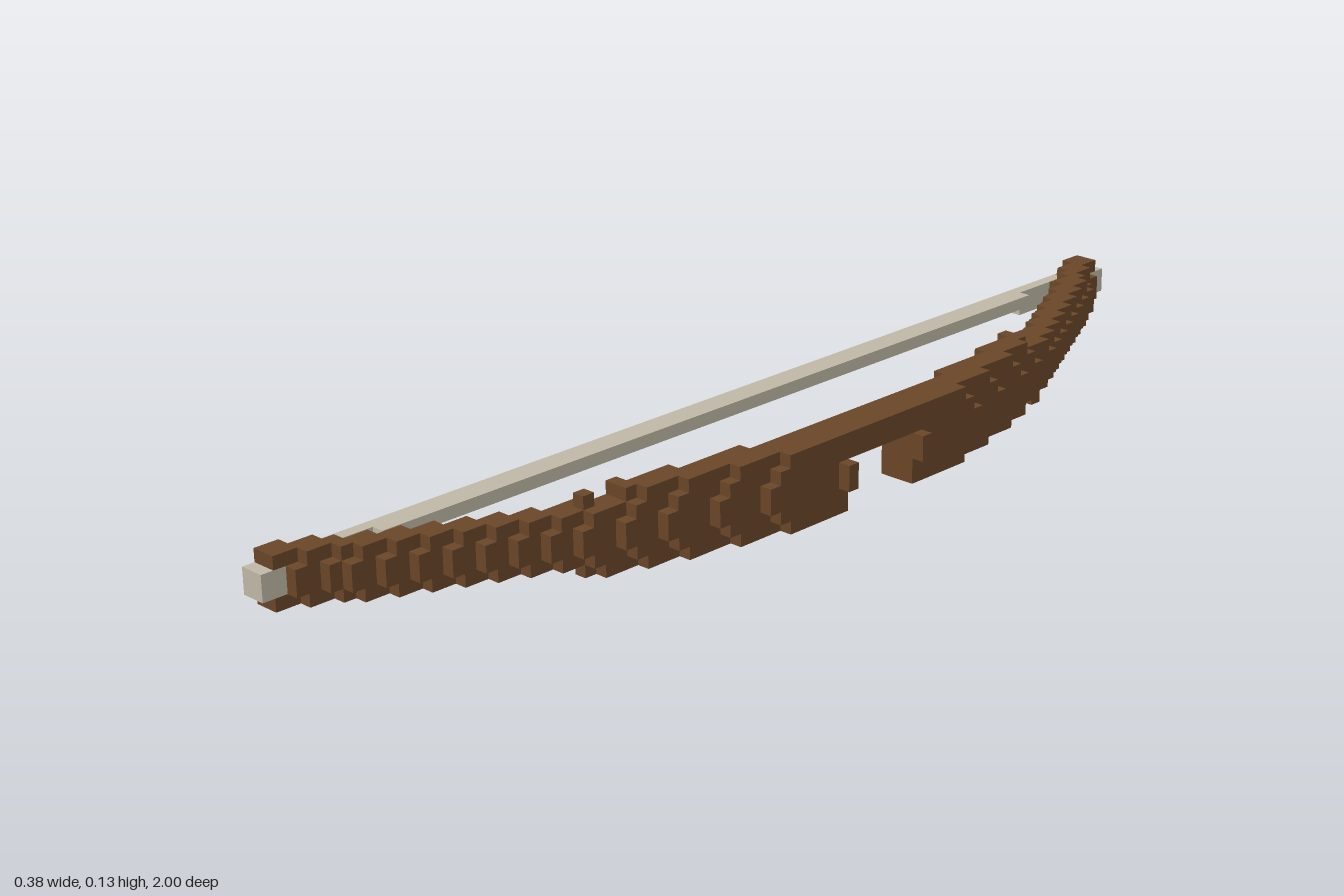
import * as THREE from 'three';
import { mergeGeometries } from 'three/addons/utils/BufferGeometryUtils.js';

const V = 2 / 89; // size of one block
const wood = new THREE.MeshStandardMaterial({ color: 0x6b4729 });
wood.name = 'brown wood';
const cord = new THREE.MeshStandardMaterial({ color: 0xc2baa8 });
cord.name = 'pale cord';

// Half-length in blocks at which each x step of the curve ends
const OUTER = [[16, 11.5], [15, 15.5], [14, 19.5], [13, 22.5], [12, 25.5], [11, 27.5], [10, 29.5], [9, 31.5],
  [8, 33.5], [7, 35.5], [6, 37.5], [5, 39.5], [4, 40.5], [3, 42.5], [2, 99]];
const INNER = [[13, 8.5], [12, 14.5], [11, 18.5], [10, 22.5], [9, 25.5], [8, 27.5], [7, 29.5], [6, 31.5],
  [5, 33.5], [4, 35.5], [3, 37.5], [2, 38.5], [1, 40.5], [0, 99]];
const stepAt = (steps, k) => steps.find(([, reach]) => k < reach)[0];

// Box between block coordinates: x from the left edge, y from the ground, z from the middle
function block(x0, x1, y0, y1, z0, z1) {
  return new THREE.BoxGeometry((x1 - x0) * V, (y1 - y0) * V, (z1 - z0) * V)
    .translate(((x0 + x1) / 2 - 8.5) * V, ((y0 + y1) / 2) * V, ((z0 + z1) / 2) * V);
}

// One horizontal layer of the curved stave; equal slices join into one box
function layer(y0, y1, shift, present) {
  const boxes = [];
  let run = null;
  for (let k = -44; k <= 45; k++) {
    const a = Math.abs(k);
    const here = k < 45 && present(k);
    const inner = here ? stepAt(INNER, Math.max(0, a - shift)) : 0;
    const outer = here ? stepAt(OUTER, a + shift) : 0;
    if (run && (!here || run.inner !== inner || run.outer !== outer)) {
      boxes.push(block(run.inner, run.outer, y0, y1, run.start - 0.5, k - 0.5));
      run = null;
    }
    if (here && !run) run = { inner, outer, start: k };
  }
  return boxes;
}

export function createModel() {
  const model = new THREE.Group();
  const add = (name, boxes, material) => {
    const mesh = new THREE.Mesh(mergeGeometries(boxes), material);
    mesh.name = name;
    model.add(mesh);
  };

  // Stave: rounded section, thickest in the middle layers, with an open grip below
  const offGrip = (k) => Math.abs(k) > 3;
  add('staveBottom', layer(0, 1, 2, (k) => offGrip(k) && k >= -24 && k <= 24 && k !== -22), wood);
  add('staveLower', layer(1, 2, 1, (k) => offGrip(k) && Math.abs(k) <= 43), wood);
  add('staveCore', layer(2, 4, 0, (k) => offGrip(k) && Math.abs(k) <= 42), wood);
  add('staveUpper', layer(4, 5, 1, (k) => Math.abs(k) <= 43), wood);
  add('staveTop', layer(5, 6, 2, (k) => Math.abs(k) <= 21 || k === 24), wood);

  // Small pegs on the outside, either side of the grip
  add('gripPegs', [-4, 4].map((k) => block(16, 17, 2, 4, k - 0.5, k + 0.5)), wood);

  // String: flat in the middle, upright near the ends, tied to square tips
  add('string', [block(0, 2, 3, 4, -34.5, 34.5)], cord);
  for (const s of [-1, 1]) {
    const span = (a, b) => (s > 0 ? [a, b] : [-b, -a]);
    add(s > 0 ? 'frontStringEnd' : 'backStringEnd', [block(0, 1, 2, 4, ...span(34.5, 42.5))], cord);
    add(s > 0 ? 'frontTip' : 'backTip', [block(0, 2, 2, 4, ...span(42.5, 44.5))], cord);
  }
  return model;
}
